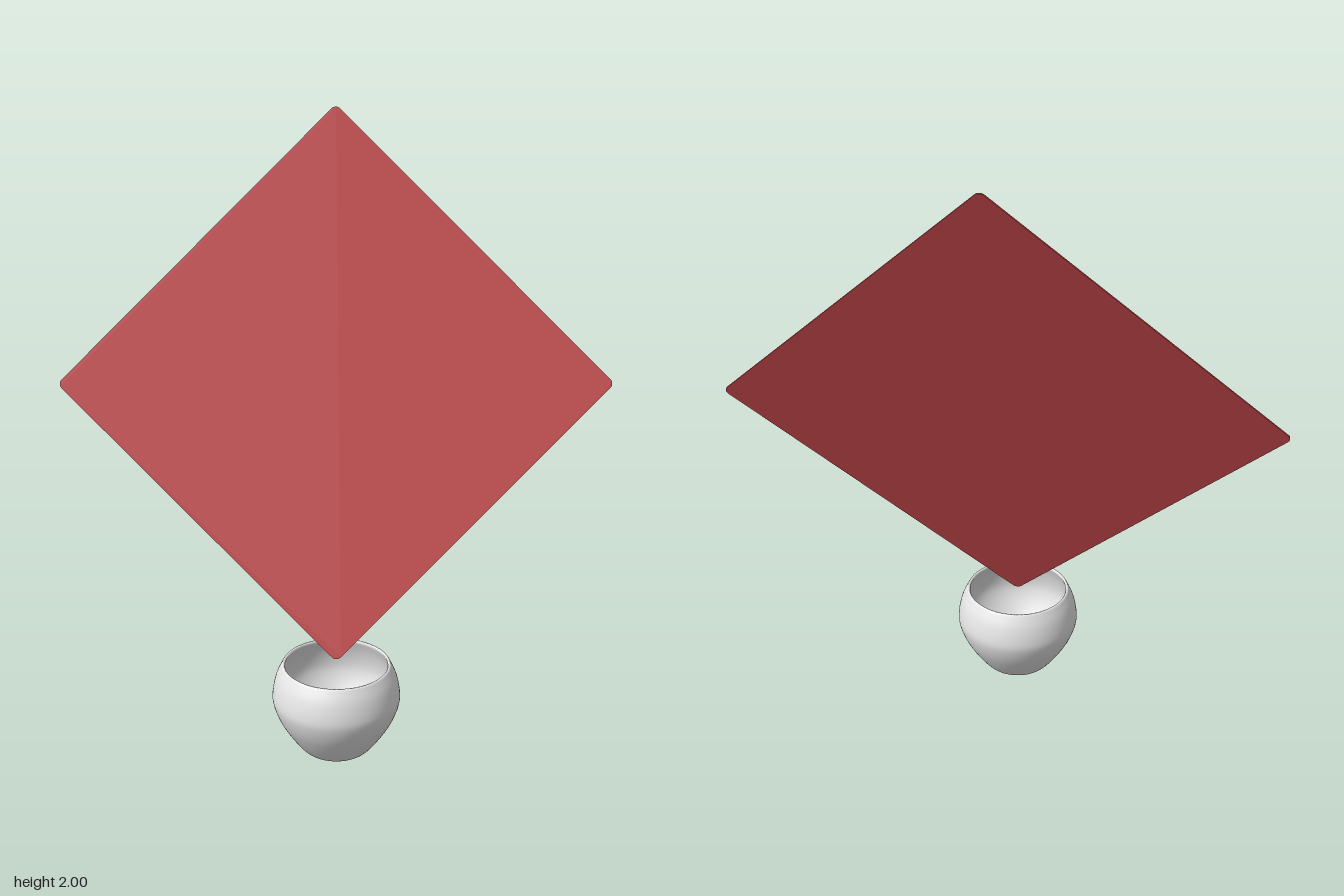
import * as THREE from 'three';

const sheetRed = new THREE.MeshStandardMaterial({ color: 0xc04547 });
sheetRed.name = 'sheet red';
const bowlWhite = new THREE.MeshStandardMaterial({ color: 0xf0f0f0 });
bowlWhite.name = 'bowl white';

// Smooth curve through profile points, sampled for the lathe
const smooth = (points, count) =>
  new THREE.SplineCurve(points.map(([r, y]) => new THREE.Vector2(r, y))).getPoints(count);

// Hollow round bowl with a flat base and a narrow rim
function makeBowl() {
  const outside = smooth([
    [0.085, 0], [0.112, 0.012], [0.15, 0.06], [0.186, 0.12],
    [0.206, 0.175], [0.207, 0.215], [0.196, 0.265], [0.178, 0.305],
  ], 36);
  const inside = smooth([
    [0.167, 0.305], [0.183, 0.262], [0.192, 0.215], [0.19, 0.175],
    [0.172, 0.125], [0.14, 0.07], [0.1, 0.03], [0.05, 0.018], [0, 0.016],
  ], 36);
  const rim = [new THREE.Vector2(0.175, 0.31), new THREE.Vector2(0.17, 0.31)];
  const profile = [new THREE.Vector2(0, 0), ...outside, ...rim, ...inside];
  const bowl = new THREE.Mesh(new THREE.LatheGeometry(profile, 64), bowlWhite);
  bowl.name = 'bowl';
  bowl.position.z = 0.208;
  return bowl;
}

// Thin square sheet with small rounded corners, standing on one corner
function makeSheet() {
  const h = 0.638, r = 0.02, thickness = 0.005;
  const shape = new THREE.Shape();
  for (let i = 0; i < 4; i++) {
    const a = (i * Math.PI) / 2;
    const c = (h - r) * Math.SQRT2;
    shape.absarc(Math.cos(a + Math.PI / 4) * c, Math.sin(a + Math.PI / 4) * c, r, a, a + Math.PI / 2, false);
  }
  const geometry = new THREE.ExtrudeGeometry(shape, { depth: thickness, bevelEnabled: false, curveSegments: 6 });
  geometry.translate(0, 0, -thickness / 2);
  geometry.rotateZ(Math.PI / 4);
  const sheet = new THREE.Mesh(geometry, sheetRed);
  sheet.name = 'sheet';
  sheet.position.set(0, 1.16, -0.108);
  sheet.rotation.x = -0.351;
  return sheet;
}

export function createModel() {
  const model = new THREE.Group();
  model.name = 'sheet and bowl';
  model.add(makeBowl(), makeSheet());
  return model;
}
